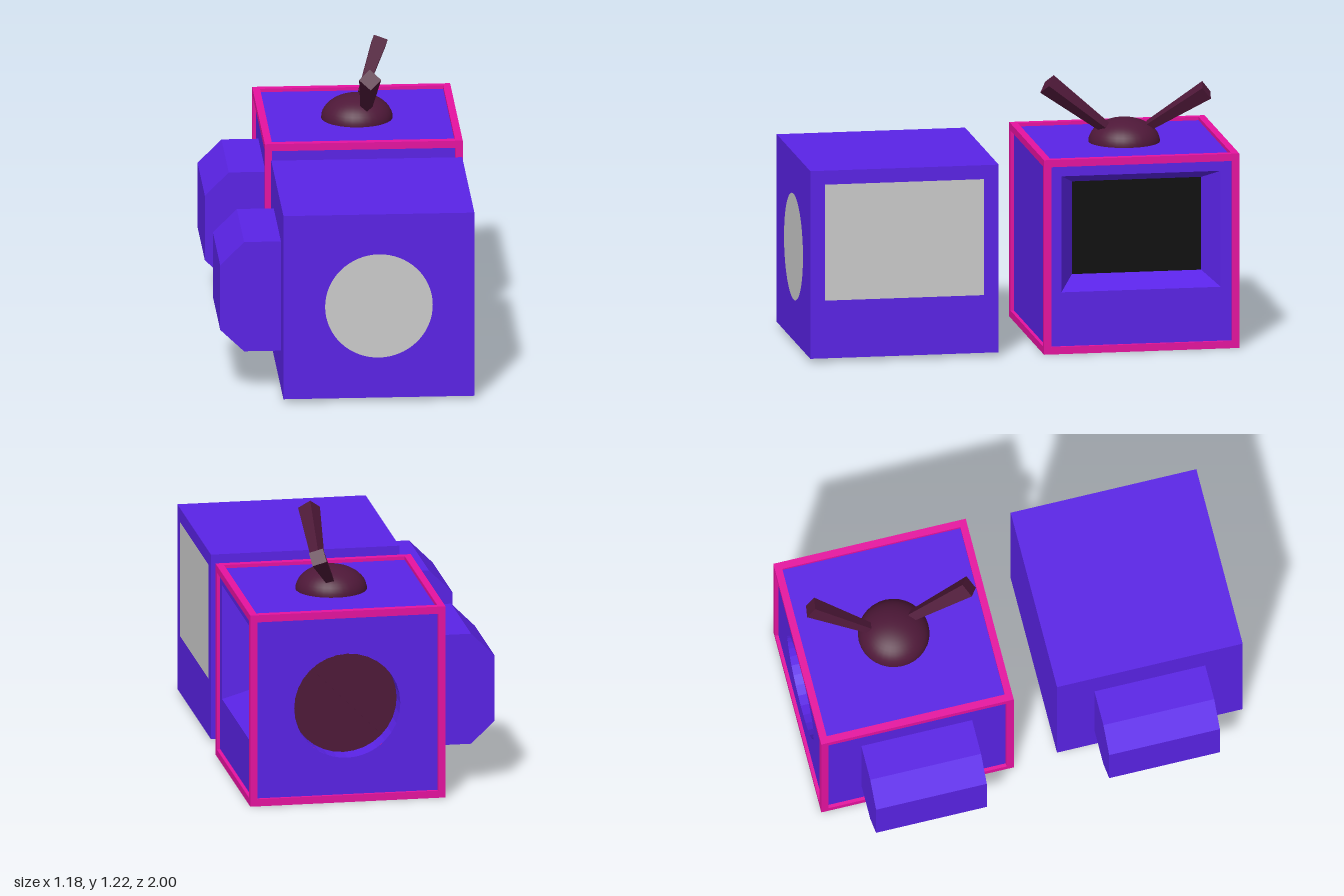
import * as THREE from 'three';

const material = (color, flatShading = false) =>
  new THREE.MeshStandardMaterial({ color, flatShading, side: THREE.DoubleSide });
const violet = material(0x5a23e6, true);
const magenta = material(0xe612a0, true);
const maroon = material(0x4e1838);
const maroonFlat = material(0x4e1838, true);
const black = material(0x0e0e0e, true);
const grey = material(0xcccccc, true);

const S = 0.88, H = S / 2;   // cabinet side and half side
const CX = 0.13, CY = 0.46;  // cabinet centre
const R = 0.248;             // round opening
// screen opening in cabinet coordinates: centre height, half width, half height
const SY = 0.1025, SW = 0.372, SH = 0.272;

function add(parent, name, geometry, mat, x = 0, y = 0, z = 0) {
  const m = new THREE.Mesh(geometry, mat);
  m.name = name;
  m.position.set(x, y, z);
  parent.add(m);
  return m;
}

// square wall with an optional opening
function wall(hole) {
  const s = new THREE.Shape([[-H, -H], [H, -H], [H, H], [-H, H]].map(p => new THREE.Vector2(...p)));
  if (hole) s.holes.push(hole);
  return new THREE.ShapeGeometry(s, 32);
}

// cabinet shell: screen opening on +x, round opening on +z or -z, side box on -x
function cabinet(name, z, roundSide) {
  const g = new THREE.Group();
  g.name = name;
  g.position.set(CX, CY, z);
  const round = new THREE.Path().absarc(0, 0, R, 0, Math.PI * 2, true);
  const screen = new THREE.Path([[-SW, SY - SH], [-SW, SY + SH], [SW, SY + SH], [SW, SY - SH]]
    .map(p => new THREE.Vector2(...p)));
  const q = Math.PI / 2;
  add(g, 'frontWall', wall(roundSide > 0 && round), violet, 0, 0, H);
  add(g, 'backWall', wall(roundSide < 0 && round), violet, 0, 0, -H).rotation.y = Math.PI;
  add(g, 'screenWall', wall(screen), violet, H).rotation.y = q;
  add(g, 'sideWall', wall(), violet, -H).rotation.y = -q;
  add(g, 'topWall', wall(), violet, 0, H).rotation.x = -q;
  add(g, 'bottomWall', wall(), violet, 0, -H).rotation.x = q;

  // chamfered box on the side
  const profile = new THREE.Shape([[-H, -0.26], [-H, 0.265], [-0.61, 0.265], [-0.72, 0.155],
    [-0.72, -0.155], [-0.61, -0.26]].map(p => new THREE.Vector2(...p)));
  add(g, 'sideBox', new THREE.ExtrudeGeometry(profile, { depth: 0.525, bevelEnabled: false }), violet, 0, 0, -0.2625);
  return g;
}

// sloped sides between the screen opening and the recessed screen
function bezel(depth, w, h, cy) {
  const ring = (x, c, a, b) => [[x, c - b, a], [x, c - b, -a], [x, c + b, -a], [x, c + b, a]];
  const outer = ring(H, SY, SW, SH), inner = ring(H - depth, cy, w, h);
  const pos = [];
  for (let i = 0; i < 4; i++) {
    const j = (i + 1) % 4;
    pos.push(...outer[i], ...outer[j], ...inner[j], ...outer[i], ...inner[j], ...inner[i]);
  }
  const geo = new THREE.BufferGeometry();
  geo.setAttribute('position', new THREE.Float32BufferAttribute(pos, 3));
  geo.computeVertexNormals();
  return geo;
}

// tapered four-sided rod from a to b
function antenna(parent, name, a, b, r0, r1, roll) {
  const from = new THREE.Vector3(...a), to = new THREE.Vector3(...b);
  const dir = to.clone().sub(from), length = dir.length();
  const geo = new THREE.CylinderGeometry(r1, r0, length, 4);
  geo.rotateY(roll);
  const m = add(parent, name, geo, maroonFlat);
  m.position.copy(from).add(to).multiplyScalar(0.5);
  m.quaternion.setFromUnitVectors(new THREE.Vector3(0, 1, 0), dir.normalize());
}

export function createModel() {
  const model = new THREE.Group();
  model.name = 'televisionPair';

  // plain cabinet in front, with a grey core showing through its openings
  const front = cabinet('plainCabinet', 0.56, 1);
  add(front, 'greyCore', new THREE.BoxGeometry(S - 0.006, S - 0.006, S - 0.006), grey);
  model.add(front);

  // finished television behind
  const tv = cabinet('television', -0.545, -1);
  model.add(tv);

  // edge frame: four bars along each axis
  const frame = new THREE.Group();
  frame.name = 'edgeFrame';
  tv.add(frame);
  const T = 0.034, E = 0.456 - T / 2;
  for (const u of [-E, E]) for (const v of [-E, E]) {
    add(frame, 'barX', new THREE.BoxGeometry(2 * E - T, T, T), magenta, 0, u, v);
    add(frame, 'barY', new THREE.BoxGeometry(T, 2 * E + T, T), magenta, u, 0, v);
    add(frame, 'barZ', new THREE.BoxGeometry(T, T, 2 * E - T), magenta, u, v, 0);
  }

  // recessed screen
  const depth = 0.12, w = 0.302, h = 0.2175, cy = 0.1075;
  add(tv, 'screenBezel', bezel(depth, w, h, cy), violet);
  add(tv, 'screen', new THREE.PlaneGeometry(2 * w, 2 * h), black, H - depth, cy, 0).rotation.y = Math.PI / 2;

  // round recess with a dial
  const sleeve = new THREE.CylinderGeometry(R, R, 0.1, 32, 1, true).rotateX(Math.PI / 2);
  add(tv, 'dialRecess', sleeve, violet, 0, 0, -H + 0.05);
  add(tv, 'dial', new THREE.CircleGeometry(R, 32), maroonFlat, 0, 0, -H + 0.1).rotation.y = Math.PI;
  add(tv, 'dialLine', new THREE.BoxGeometry(2 * R - 0.01, 0.008, 0.006), maroonFlat, 0, 0, -H + 0.098)
    .rotation.z = Math.PI / 4;

  // antenna dome and rods
  const dome = new THREE.SphereGeometry(0.165, 32, 12, 0, Math.PI * 2, 0, Math.PI / 2).scale(1, 0.67, 1);
  add(model, 'antennaDome', dome, maroon, 0.127, 0.9, -0.545);
  antenna(model, 'frontAntenna', [0.165, 0.975, -0.45], [0.165, 1.188, -0.178], 0.028, 0.051, 0);
  antenna(model, 'backAntenna', [0.155, 0.975, -0.655], [0.254, 1.152, -0.907], 0.026, 0.048, Math.PI / 4);

  return model;
}
